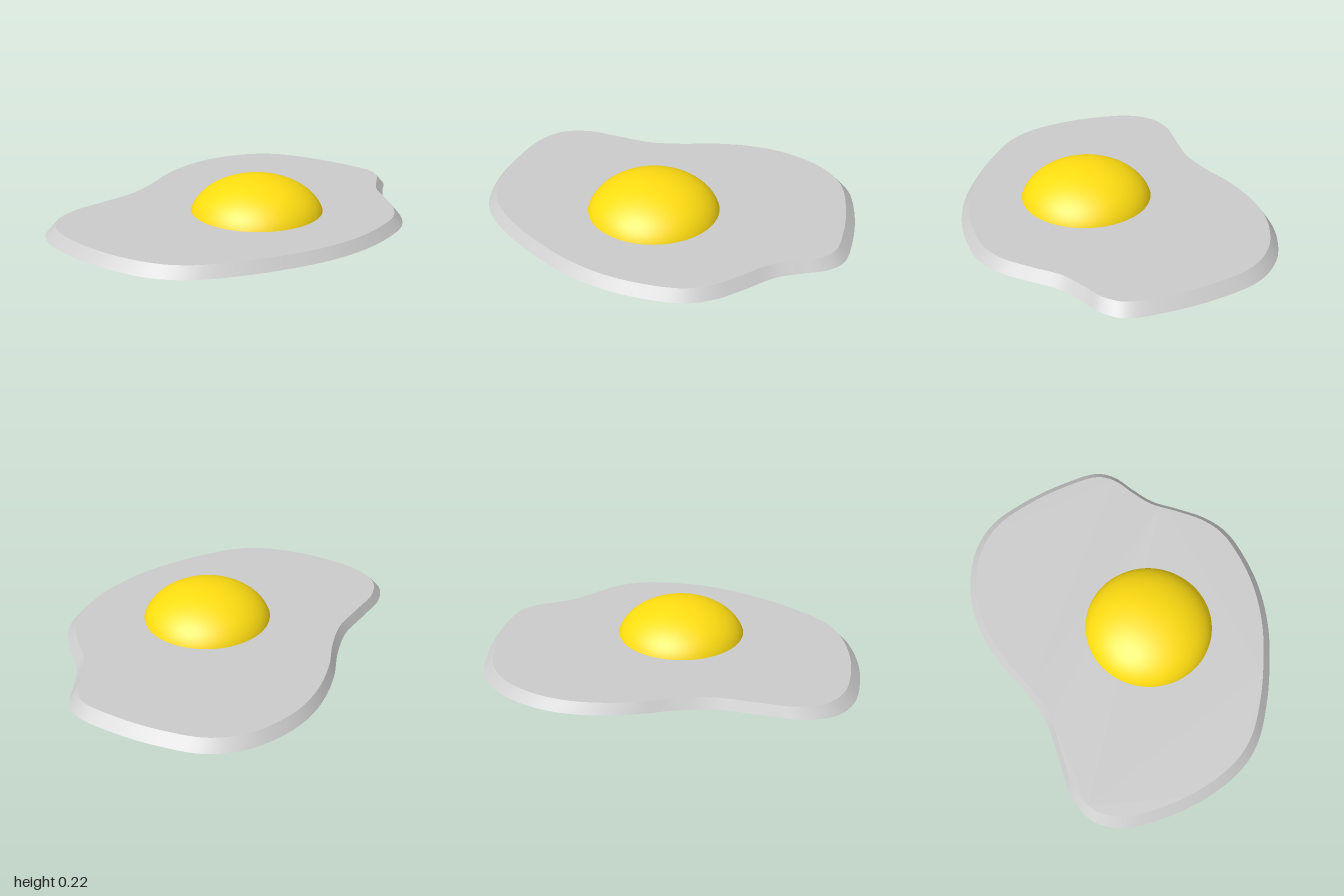
import * as THREE from 'three';

// Outline of the egg white as x, z pairs
const OUTLINE = [
  -1, -0.04, -0.96, -0.18, -0.84, -0.28, -0.665, -0.335, -0.45, -0.4, -0.29, -0.5,
  -0.13, -0.63, 0.03, -0.725, 0.19, -0.783, 0.36, -0.8, 0.54, -0.772, 0.7, -0.68,
  0.83, -0.505, 0.94, -0.28, 0.997, -0.08, 0.965, 0.02, 0.885, 0.115, 0.805, 0.22,
  0.745, 0.375, 0.68, 0.52, 0.59, 0.625, 0.43, 0.712, 0.245, 0.772, 0.03, 0.797,
  -0.185, 0.783, -0.4, 0.745, -0.61, 0.675, -0.745, 0.575, -0.88, 0.38, -0.97, 0.15,
];
const THICKNESS = 0.05;
const TOP_SCALE = 0.95;

function outlinePoints(count) {
  const pts = [];
  for (let i = 0; i < OUTLINE.length; i += 2) pts.push(new THREE.Vector3(OUTLINE[i], 0, OUTLINE[i + 1]));
  return new THREE.CatmullRomCurve3(pts, true).getPoints(count);
}

// Flat face filling the outline, facing up or down
function face(pts, scale, y, up) {
  const shape = new THREE.Shape(pts.slice(0, -1).map((p) => new THREE.Vector2(p.x * scale, (up ? -p.z : p.z) * scale)));
  return new THREE.ShapeGeometry(shape).rotateX(up ? -Math.PI / 2 : Math.PI / 2).translate(0, y, 0);
}

// Sloping rim between the wide bottom and the narrower top
function rim(pts) {
  const pos = [];
  const index = [];
  pts.forEach((p, i) => {
    pos.push(p.x, 0, p.z, p.x * TOP_SCALE, THICKNESS, p.z * TOP_SCALE);
    if (i < pts.length - 1) {
      const a = i * 2;
      index.push(a, a + 1, a + 2, a + 1, a + 3, a + 2);
    }
  });
  const geo = new THREE.BufferGeometry();
  geo.setAttribute('position', new THREE.Float32BufferAttribute(pos, 3));
  geo.setIndex(index);
  geo.computeVertexNormals();
  return geo;
}

export function createModel() {
  const group = new THREE.Group();
  group.name = 'friedEgg';
  const add = (name, geo, mat, parent) => {
    const mesh = new THREE.Mesh(geo, mat);
    mesh.name = name;
    parent.add(mesh);
    return mesh;
  };

  // Egg white
  const whiteMat = new THREE.MeshStandardMaterial({ color: 0xcccccc });
  const white = new THREE.Group();
  white.name = 'eggWhite';
  const pts = outlinePoints(240);
  add('whiteTop', face(pts, TOP_SCALE, THICKNESS, true), whiteMat, white);
  add('whiteBottom', face(pts, 1, 0, false), whiteMat, white);
  add('whiteRim', rim(pts), whiteMat, white);
  group.add(white);

  // Yolk: upper part of a flattened sphere, cut where it meets the white
  const radius = 0.344;
  const height = 0.22;
  const yolkGeo = new THREE.SphereGeometry(1, 64, 24, 0, Math.PI * 2, 0, Math.acos(THICKNESS / height));
  yolkGeo.scale(radius, height, radius);
  const yolk = add('yolk', yolkGeo, new THREE.MeshStandardMaterial({ color: 0xffdd11 }), group);
  yolk.position.set(0.035, 0, 0.155);
  return group;
}
